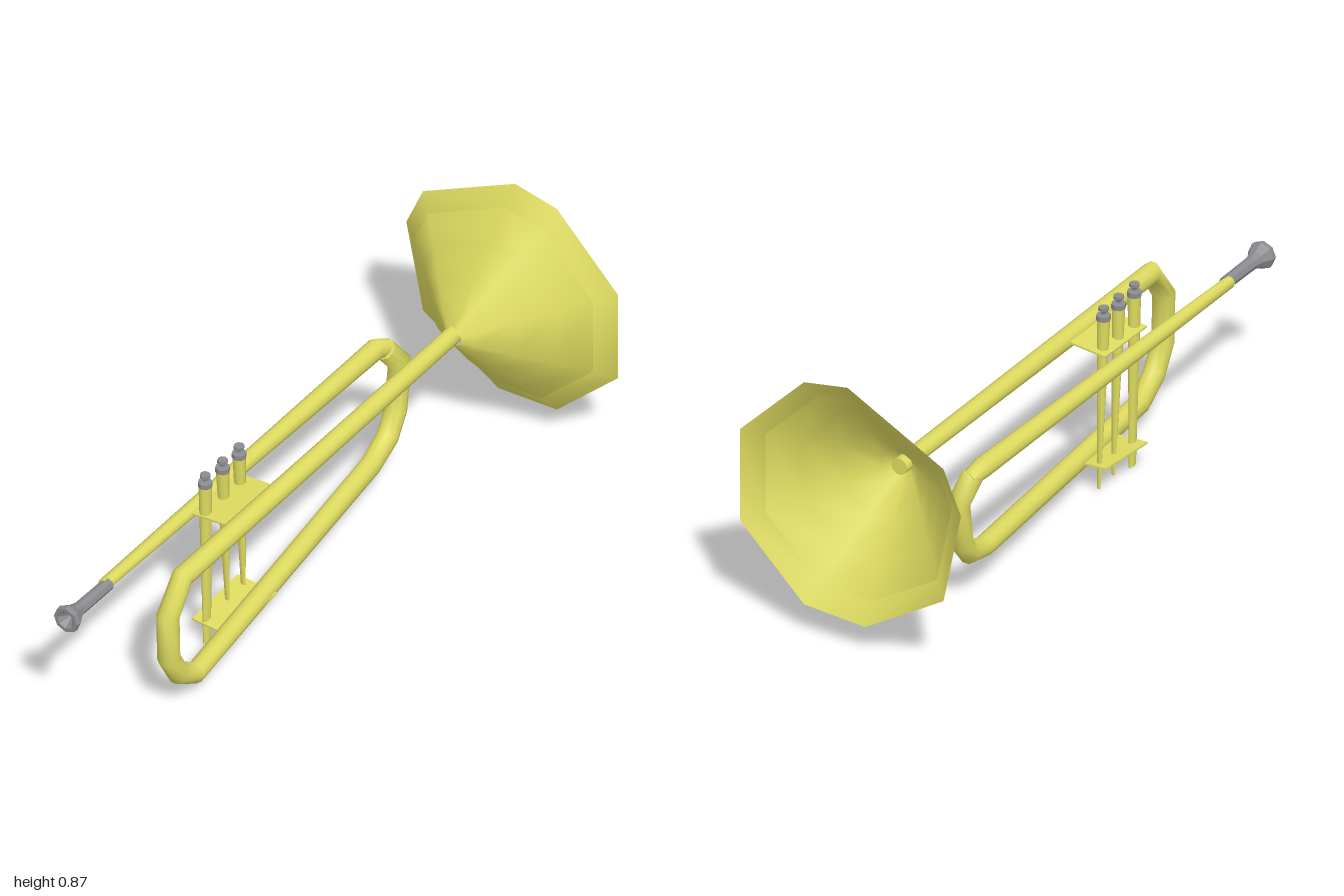
import * as THREE from 'three';

const brass = new THREE.MeshStandardMaterial({ color: 0xdedb60, side: THREE.DoubleSide });
brass.name = 'brass yellow';
const steel = new THREE.MeshStandardMaterial({ color: 0x8c8c90, side: THREE.DoubleSide });
steel.name = 'steel grey';

// Skin a list of equal rings of Vector3; rings run counterclockwise about the advance direction
function loft(rings, capped = true) {
  const n = rings[0].length, pos = [], idx = [];
  rings.forEach(r => r.forEach(p => pos.push(p.x, p.y, p.z)));
  for (let i = 0; i < rings.length - 1; i++) {
    for (let j = 0; j < n; j++) {
      const a = i * n + j, b = i * n + (j + 1) % n;
      idx.push(a, b, a + n, b, b + n, a + n);
    }
  }
  if (capped) {
    [rings[0], rings[rings.length - 1]].forEach((ring, end) => {
      const base = pos.length / 3;
      ring.forEach(p => pos.push(p.x, p.y, p.z));
      for (let j = 1; j < n - 1; j++) {
        if (end) idx.push(base, base + j, base + j + 1);
        else idx.push(base, base + j + 1, base + j);
      }
    });
  }
  const g = new THREE.BufferGeometry();
  g.setAttribute('position', new THREE.Float32BufferAttribute(pos, 3));
  g.setIndex(idx);
  g.computeVertexNormals();
  return g;
}

// Mitred tube through [x, y, z, radius] points
function pipe(path, sides = 10) {
  const pts = path.map(p => new THREE.Vector3(p[0], p[1], p[2]));
  const rings = pts.map((p, i) => {
    const before = p.clone().sub(pts[Math.max(i - 1, 0)]).normalize();
    const after = pts[Math.min(i + 1, pts.length - 1)].clone().sub(p).normalize();
    const t = before.clone().add(after).normalize();
    const mitre = 1 / Math.max(0.75, t.dot(i ? before : after));
    const u = new THREE.Vector3(1, 0, 0).addScaledVector(t, -t.x).normalize();
    const v = t.clone().cross(u);
    return Array.from({ length: sides }, (_, j) => {
      const a = j / sides * Math.PI * 2;
      return p.clone().addScaledVector(u, Math.cos(a) * path[i][3])
        .addScaledVector(v, Math.sin(a) * path[i][3] * mitre);
    });
  });
  return loft(rings);
}

// Horizontal ellipse used as a valve cross-section
function ellipse(x, y, z, rx, rz) {
  return Array.from({ length: 10 }, (_, j) => {
    const a = j / 10 * Math.PI * 2;
    return new THREE.Vector3(x + Math.cos(a) * rx, y, z - Math.sin(a) * rz);
  });
}

function lathe(profile, sides) {
  const g = new THREE.LatheGeometry(profile.map(p => new THREE.Vector2(...p)), sides).toNonIndexed();
  g.computeVertexNormals();
  return g;
}

export function createModel() {
  const group = new THREE.Group();
  group.name = 'trumpet';
  const add = (name, geometry, material) => {
    const mesh = new THREE.Mesh(geometry, material);
    mesh.name = name;
    group.add(mesh);
    return mesh;
  };

  // Bell: uneven nine-sided rim shrinking towards the throat
  const rim = [[0.01, 0.87], [0.16, 0.845], [0.38, 0.625], [0.38, 0.32], [0.16, 0.105],
    [-0.05, 0.09], [-0.32, 0.255], [-0.38, 0.555], [-0.32, 0.695]];
  const bellRing = ([s, z]) => rim.map(([x, y]) =>
    new THREE.Vector3(x * s, 0.485 + (y - 0.485) * s, z));
  add('bell', loft([[0.07, -0.705], [0.15, -0.73], [0.39, -0.805], [0.62, -0.885], [0.845, -0.955]]
    .map(bellRing), false), brass);
  add('bellRim', loft([[0.845, -0.955], [1, -1]].map(bellRing), false), brass);

  // Main tube: from the bell forward, round the front bow, back below and up the rear bow
  add('mainTube', pipe([
    [-0.005, 0.49, -0.74, 0.027], [0.01, 0.47, 0.67, 0.032], [0.01, 0.37, 0.742, 0.034],
    [0.01, 0.215, 0.738, 0.034], [0.01, 0.13, 0.69, 0.034], [0.005, 0.07, 0.6, 0.031],
    [-0.115, 0.122, -0.45, 0.032], [-0.13, 0.155, -0.555, 0.034], [-0.14, 0.215, -0.61, 0.034],
    [-0.15, 0.365, -0.645, 0.034], [-0.165, 0.44, -0.59, 0.034],
  ]), brass);

  // Lead pipe and mouthpiece
  add('leadPipe', pipe([
    [-0.165, 0.435, -0.61, 0.026], [-0.177, 0.452, -0.56, 0.032], [-0.18, 0.436, 0.8, 0.019],
  ]), brass);
  const mouthpiece = add('mouthpiece', lathe([[0, 0.785], [0.02, 0.785], [0.021, 0.93],
    [0.028, 0.955], [0.044, 0.985], [0.042, 1], [0.03, 1], [0, 0.965]], 8).rotateX(Math.PI / 2), steel);
  mouthpiece.position.set(-0.173, 0.435, 0);

  // Valves: one broad blade and two that taper nearly to a point, each with a cap and button
  const cap = lathe([[0, 0.568], [0.022, 0.568], [0.022, 0.584], [0.007, 0.586],
    [0.006, 0.591], [0.016, 0.6], [0.016, 0.61], [0, 0.61]], 8);
  [[0.38, 0.38, 0.018, 0], [0.293, 0.275, 0.003, 0.018], [0.21, 0.195, 0.003, 0.01]]
    .forEach(([zTop, zFoot, rFoot, yFoot], i) => {
      add(`valve${i + 1}`, loft([ellipse(-0.108, yFoot, zFoot, 0.006, rFoot),
        ellipse(-0.115, 0.57, zTop, 0.02, 0.019)]), brass);
      add(`valveCap${i + 1}`, cap, steel).position.set(-0.115, 0, zTop);
    });

  // Brace plates joining the valves to the tubes
  const plate = (name, length, x, y, z, tiltX, tiltZ) => {
    const mesh = add(name, new THREE.BoxGeometry(length, 0.006, 0.23), brass);
    mesh.position.set(x, y, z);
    mesh.rotation.set(tiltX, 0, tiltZ);
  };
  plate('upperBrace', 0.14, -0.075, 0.473, 0.287, 0.02, 0.11);
  plate('lowerBrace', 0.14, -0.077, 0.083, 0.287, 0.08, -0.04);

  return group;
}
